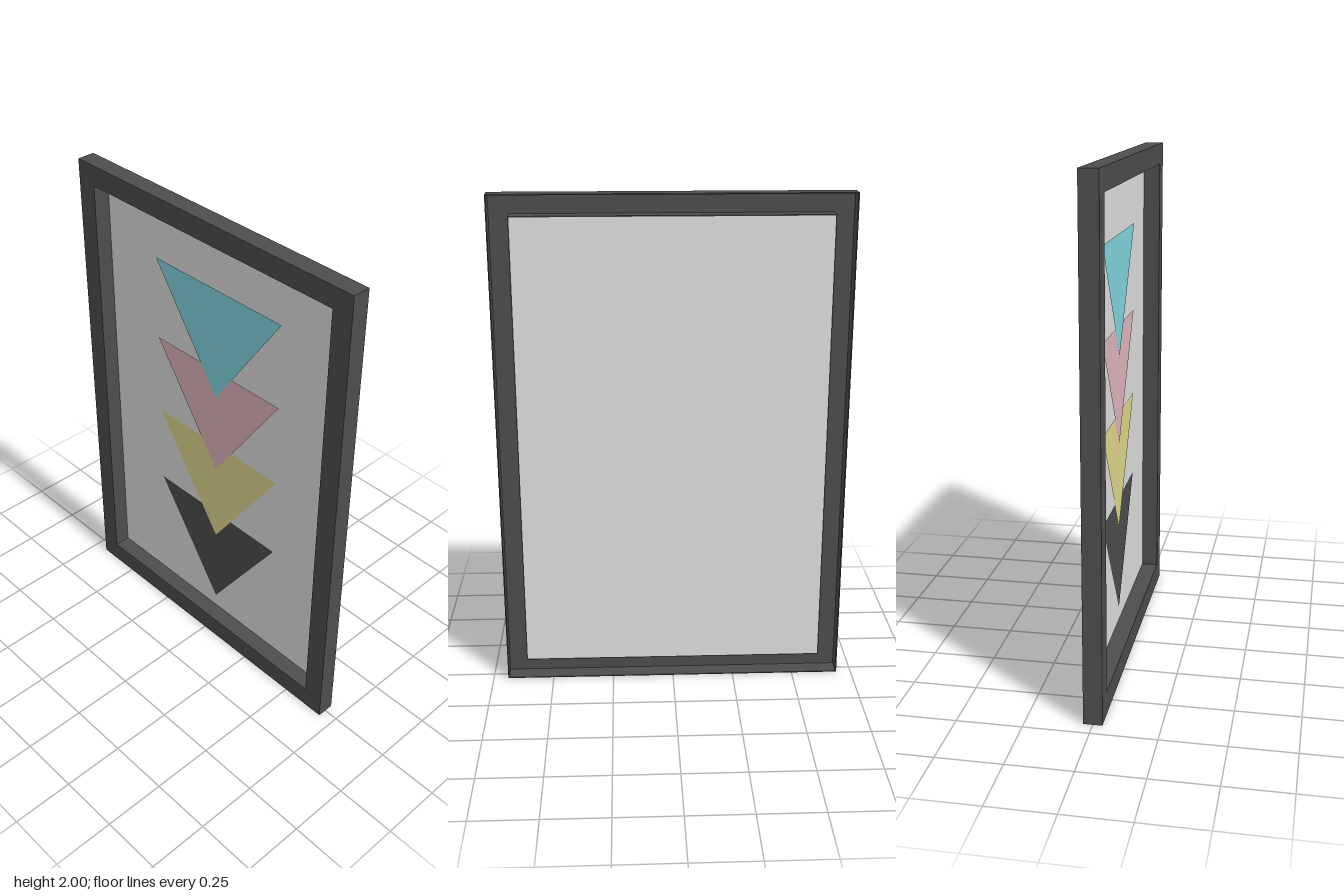
import * as THREE from 'three';

const W = 1.38, H = 2, D = 0.072;            // outer frame
const IW = 1.21, IH = 1.826, IY = 1.003;     // opening and its centre height
const T = 0.004;                             // sheet thickness

function flat(name, hex) {
  const m = new THREE.MeshStandardMaterial({ color: hex });
  m.name = name;
  return m;
}

function rect(path, w, h, cy) {
  path.moveTo(-w / 2, cy - h / 2);
  path.lineTo(w / 2, cy - h / 2);
  path.lineTo(w / 2, cy + h / 2);
  path.lineTo(-w / 2, cy + h / 2);
  path.closePath();
  return path;
}

// Rectangular ring extruded along z
function ring(w, h, cy, holeW, holeH, holeCy, z0, z1) {
  const shape = rect(new THREE.Shape(), w, h, cy);
  shape.holes.push(rect(new THREE.Path(), holeW, holeH, holeCy));
  const g = new THREE.ExtrudeGeometry(shape, { depth: z1 - z0, bevelEnabled: false });
  g.translate(0, 0, z0);
  return g;
}

export function createModel() {
  const group = new THREE.Group();
  const charcoal = flat('charcoal', 0x4e4e4e);
  const paper = flat('paper', 0xe2e2e2);
  const blue = flat('blue', 0x84d9e3);
  const pink = flat('pink', 0xe3b8bf);
  const yellow = flat('yellow', 0xe3db90);

  const add = (name, geometry, material) => {
    const mesh = new THREE.Mesh(geometry, material);
    mesh.name = name;
    group.add(mesh);
    return mesh;
  };

  // Hollow frame, open at the back: front face, outer walls, inner walls
  const back = -D / 2, front = D / 2;
  add('frameFront', ring(W, H, 1, IW, IH, IY, front - T, front), charcoal);
  add('frameOuterWalls', ring(W, H, 1, W - 2 * T, H - 2 * T, 1, back, front - T), charcoal);
  add('frameInnerWalls', ring(IW + 2 * T, IH + 2 * T, IY, IW, IH, IY, back, front - T), charcoal);

  // Sheet closing the inner walls at the back
  add('backPanel', new THREE.BoxGeometry(IW, IH, T), paper).position.set(0, IY, back + T / 2);

  // Overlapping triangles pointing down, each above the next
  const triangles = [
    ['darkTriangle', 0.63, charcoal],
    ['yellowTriangle', 0.987, yellow],
    ['pinkTriangle', 1.343, pink],
    ['blueTriangle', 1.7, blue],
  ];
  const shape = new THREE.Shape([
    new THREE.Vector2(-0.33, 0),
    new THREE.Vector2(0, -0.48),
    new THREE.Vector2(0.33, 0),
  ]);
  triangles.forEach(([name, top, material], i) => {
    add(name, new THREE.ShapeGeometry(shape), material)
      .position.set(0, top, back + T + 0.0015 * (i + 1));
  });

  return group;
}
